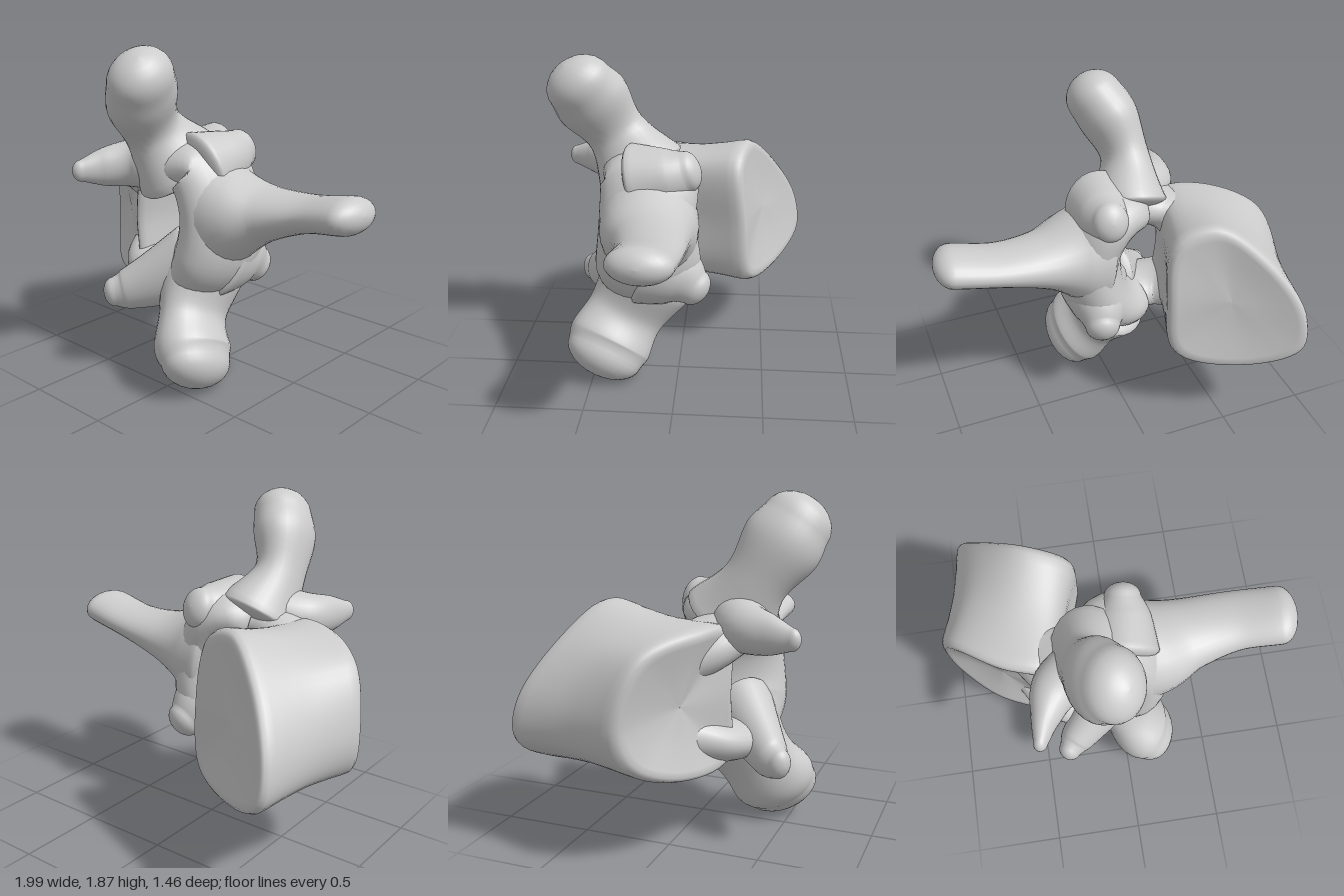
import * as THREE from 'three';

const material = new THREE.MeshStandardMaterial({ color: 0xcccccc });
const V = (x, y, z) => new THREE.Vector3(x, y, z);

// Joins closed rings of points (counter-clockwise about the direction of travel)
function skin(name, rings) {
  const n = rings[0].length, index = [];
  for (let i = 0; i < rings.length - 1; i++) {
    for (let j = 0; j < n; j++) {
      const k = (j + 1) % n;
      const a = i * n + j, b = i * n + k, c = a + n, d = b + n;
      index.push(a, b, c, b, d, c);
    }
  }
  const geometry = new THREE.BufferGeometry().setFromPoints(rings.flat());
  geometry.setIndex(index);
  geometry.computeVertexNormals();
  const mesh = new THREE.Mesh(geometry, material);
  mesh.name = name;
  return mesh;
}

// Round-ended limb through sections [x, y, z, a, b]; b is the half size along ref
function limb(name, ref, sections, startDome, endDome) {
  const path = new THREE.CatmullRomCurve3(sections.map(s => V(s[0], s[1], s[2])));
  const size = new THREE.CatmullRomCurve3(sections.map(s => V(s[3], s[4], 0)), false, 'catmullrom');
  const rings = [];
  const addRing = (u, shift, scale) => {
    const t = path.getTangent(u), r = size.getPoint(u);
    const side = ref.clone().cross(t).normalize();
    const up = t.clone().cross(side);
    const centre = path.getPoint(u).addScaledVector(t, shift);
    const ring = [];
    for (let j = 0; j < 28; j++) {
      const q = j / 28 * Math.PI * 2;
      ring.push(centre.clone()
        .addScaledVector(side, Math.cos(q) * r.x * scale)
        .addScaledVector(up, Math.sin(q) * r.y * scale));
    }
    rings.push(ring);
  };
  const dome = 7, steps = (sections.length - 1) * 7;
  for (let i = dome; i > 0; i--) {
    const q = i / dome * Math.PI / 2;
    addRing(0, -startDome * Math.sin(q), Math.max(Math.cos(q), 0.001));
  }
  for (let i = 0; i <= steps; i++) addRing(i / steps, 0, 1);
  for (let i = 1; i <= dome; i++) {
    const q = i / dome * Math.PI / 2;
    addRing(1, endDome * Math.sin(q), Math.max(Math.cos(q), 0.001));
  }
  return skin(name, rings);
}

// Waisted block between two D-shaped end plates, each slightly dished
function vertebralBody() {
  const back = [
    V(-0.21, 1.23, -0.34), V(-0.42, 1.32, -0.4), V(-0.66, 1.14, -0.55), V(-0.84, 0.84, -0.71),
    V(-0.83, 0.61, -0.74), V(-0.55, 0.46, -0.59), V(-0.21, 0.51, -0.41), V(-0.16, 0.88, -0.37),
  ];
  const front = [
    V(-0.39, 1.19, 0.32), V(-0.63, 1.22, 0.24), V(-0.91, 1.12, 0.04), V(-1.0, 0.78, -0.06),
    V(-0.94, 0.57, 0.0), V(-0.72, 0.46, 0.18), V(-0.39, 0.49, 0.32), V(-0.39, 0.85, 0.33),
  ];
  const outline = pts => new THREE.CatmullRomCurve3(pts, true).getPoints(56).slice(0, 56);
  const mean = pts => pts.reduce((s, p) => s.add(p), V(0, 0, 0)).divideScalar(pts.length);
  const A = outline(back), B = outline(front), ca = mean(A), cb = mean(B);
  // [position from back to front, scale about the axis]
  const profile = [
    [0.05, 0.001], [0.045, 0.3], [0.03, 0.6], [0.005, 0.84], [0.0, 0.92], [0.02, 0.97], [0.06, 1],
    [0.13, 0.995], [0.25, 0.975], [0.4, 0.96], [0.5, 0.955], [0.6, 0.96], [0.75, 0.975], [0.87, 0.995],
    [0.94, 1], [0.98, 0.97], [1.0, 0.92], [0.995, 0.84], [0.97, 0.6], [0.955, 0.3], [0.95, 0.001],
  ];
  return skin('vertebralBody', profile.map(([t, s]) => {
    const c = ca.clone().lerp(cb, t);
    return A.map((p, j) => p.clone().lerp(B[j], t).sub(c).multiplyScalar(s).add(c));
  }));
}

export function createModel() {
  const group = new THREE.Group();
  group.name = 'vertebra';
  const X = V(1, 0, 0), Y = V(0, 1, 0), Z = V(0, 0, 1);

  group.add(vertebralBody());

  // Pedicles and laminae: one arch around the spinal canal
  group.add(limb('neuralArch', Z, [
    [-0.49, 1.04, 0.05, 0.14, 0.16], [-0.36, 1.13, 0.21, 0.12, 0.18], [-0.17, 1.19, 0.25, 0.13, 0.2],
    [-0.01, 1.2, 0.17, 0.16, 0.27], [0.1, 1.0, 0.17, 0.17, 0.27], [0.08, 0.72, 0.17, 0.19, 0.3],
    [-0.06, 0.58, 0.2, 0.16, 0.26], [-0.2, 0.56, 0.25, 0.12, 0.2], [-0.36, 0.58, 0.21, 0.115, 0.18],
    [-0.49, 0.63, 0.05, 0.14, 0.16],
  ], 0.05, 0.05));

  // Long spine pointing away from the body
  group.add(limb('spinousArm', Y, [
    [0.08, 0.95, 0.16, 0.28, 0.36], [0.22, 0.97, 0.15, 0.265, 0.255], [0.4, 1.0, 0.12, 0.21, 0.15],
    [0.65, 1.045, 0.1, 0.175, 0.097], [0.9, 1.09, 0.12, 0.17, 0.097],
  ], 0.08, 0.1));

  // Club-ended side arms
  group.add(limb('upperTransverseArm', X, [
    [-0.16, 1.2, 0.23, 0.27, 0.22], [-0.2, 1.41, 0.37, 0.175, 0.135],
    [-0.15, 1.6, 0.49, 0.215, 0.165], [-0.09, 1.71, 0.555, 0.19, 0.16],
  ], 0.06, 0.15));
  group.add(limb('lowerTransverseArm', X, [
    [-0.03, 0.58, 0.19, 0.28, 0.22], [0.02, 0.38, 0.31, 0.23, 0.155],
    [0.1, 0.23, 0.395, 0.25, 0.185], [0.15, 0.17, 0.425, 0.23, 0.16],
  ], 0.06, 0.14));

  // Pointed joint knobs at the front
  group.add(limb('upperFrontJointKnob', Y, [
    [-0.12, 1.22, 0.25, 0.18, 0.18], [-0.36, 1.2, 0.38, 0.14, 0.135],
    [-0.44, 1.19, 0.53, 0.08, 0.105], [-0.48, 1.185, 0.65, 0.04, 0.06],
  ], 0.06, 0.05));
  group.add(limb('lowerFrontJointKnob', Y, [
    [-0.03, 0.66, 0.25, 0.18, 0.22], [-0.19, 0.56, 0.4, 0.13, 0.16],
    [-0.31, 0.5, 0.51, 0.095, 0.115], [-0.35, 0.49, 0.56, 0.065, 0.085],
  ], 0.06, 0.06));

  // Blunt joint knobs at the back, flaring into the arch
  group.add(limb('upperBackJointKnob', Y, [
    [0.01, 1.19, 0.22, 0.2, 0.22], [0.04, 1.24, 0.04, 0.15, 0.155], [0.05, 1.27, -0.05, 0.1, 0.115],
  ], 0.06, 0.075));
  group.add(limb('lowerBackJointKnob', Y, [
    [0.08, 0.72, 0.15, 0.2, 0.26], [0.1, 0.65, -0.02, 0.15, 0.175], [0.12, 0.6, -0.1, 0.1, 0.11],
  ], 0.06, 0.08));

  return group;
}
